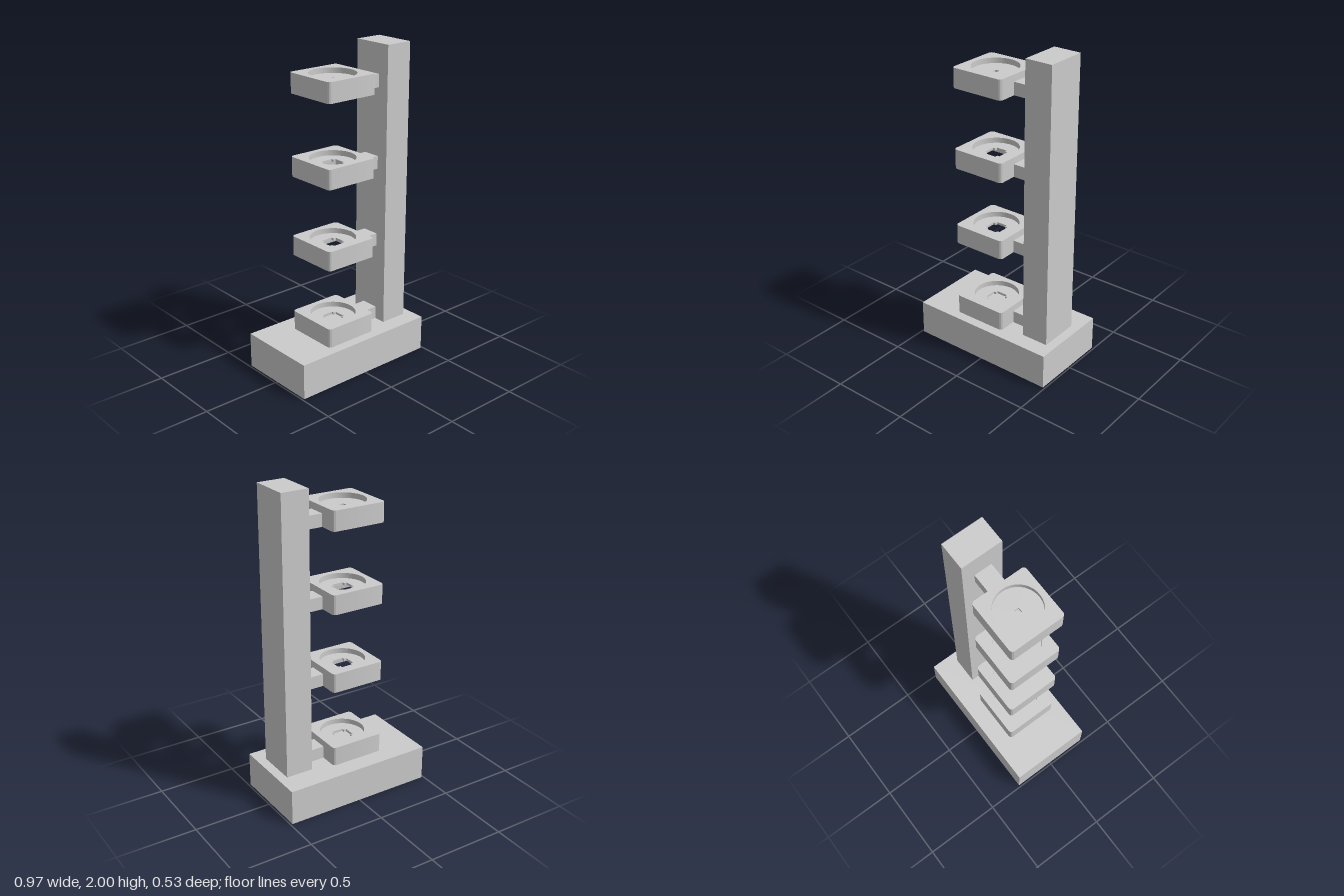
import * as THREE from 'three';
import { toCreasedNormals } from 'three/addons/utils/BufferGeometryUtils.js';

const material = new THREE.MeshStandardMaterial({ color: 0xcccccc });

function addMesh(parent, name, geometry) {
  const mesh = new THREE.Mesh(geometry, material);
  mesh.name = name;
  parent.add(mesh);
  return mesh;
}

// Box given by its minimum and maximum corners
function addBox(parent, name, [x0, y0, z0], [x1, y1, z1]) {
  const mesh = addMesh(parent, name, new THREE.BoxGeometry(x1 - x0, y1 - y0, z1 - z0));
  mesh.position.set((x0 + x1) / 2, (y0 + y1) / 2, (z0 + z1) / 2);
}

// Centred square with rounded corners
function roundedSquare(size, r) {
  const c = size / 2 - r;
  const s = new THREE.Shape();
  s.absarc(c, c, r, 0, Math.PI / 2);
  s.absarc(-c, c, r, Math.PI / 2, Math.PI);
  s.absarc(-c, -c, r, Math.PI, Math.PI * 1.5);
  s.absarc(c, -c, r, Math.PI * 1.5, Math.PI * 2);
  s.closePath();
  return s;
}

function polygon(points) {
  return new THREE.Path(points.map(([x, y]) => new THREE.Vector2(x, y)));
}

function squareHole(size) {
  const h = size / 2;
  return polygon([[-h, -h], [h, -h], [h, h], [-h, h]]);
}

function crossHole(length, width) {
  const a = length / 2, b = width / 2;
  return polygon([[-b, -a], [b, -a], [b, -b], [a, -b], [a, b], [b, b],
    [b, a], [-b, a], [-b, b], [-a, b], [-a, -b], [-b, -b]]);
}

function circleHole(r) {
  return new THREE.Path().absarc(0, 0, r, 0, Math.PI * 2, true);
}

// One horizontal layer of a tray, pierced by a hole
function trayLayer(hole, y0, y1) {
  const shape = roundedSquare(0.354, 0.022);
  shape.holes.push(hole);
  const g = new THREE.ExtrudeGeometry(shape, { depth: y1 - y0, bevelEnabled: false, curveSegments: 24 });
  g.rotateX(-Math.PI / 2).translate(0, y0, 0);
  return toCreasedNormals(g, 0.6);
}

// Tray hollow from below, with a round recess on top
function createTray(floorHole) {
  const tray = new THREE.Group();
  tray.name = 'tray';
  addMesh(tray, 'traySkirt', trayLayer(roundedSquare(0.33, 0.012), 0, 0.075));
  addMesh(tray, 'trayFloor', trayLayer(floorHole, 0.075, 0.09));
  addMesh(tray, 'trayRim', trayLayer(circleHole(0.141), 0.09, 0.123));
  return tray;
}

export function createModel() {
  const model = new THREE.Group();
  model.name = 'trayTower';

  // Base and post
  const baseTop = 0.225;
  addBox(model, 'base', [-0.487, 0, -0.265], [0.487, baseTop, 0.265]);
  addBox(model, 'post', [0.25, baseTop, -0.108], [0.427, 2, 0.157]);

  // Four trays on arms; only the top one has the small hole
  for (let i = 0; i < 4; i++) {
    const y = baseTop + 0.001 + i * 0.504;
    const tray = createTray(i === 3 ? squareHole(0.03) : crossHole(0.11, 0.075));
    tray.position.set(-0.06, y, 0.027);
    model.add(tray);
    addBox(model, 'arm', [0.116, y, -0.03], [0.25, y + 0.08, 0.083]);
  }
  return model;
}
